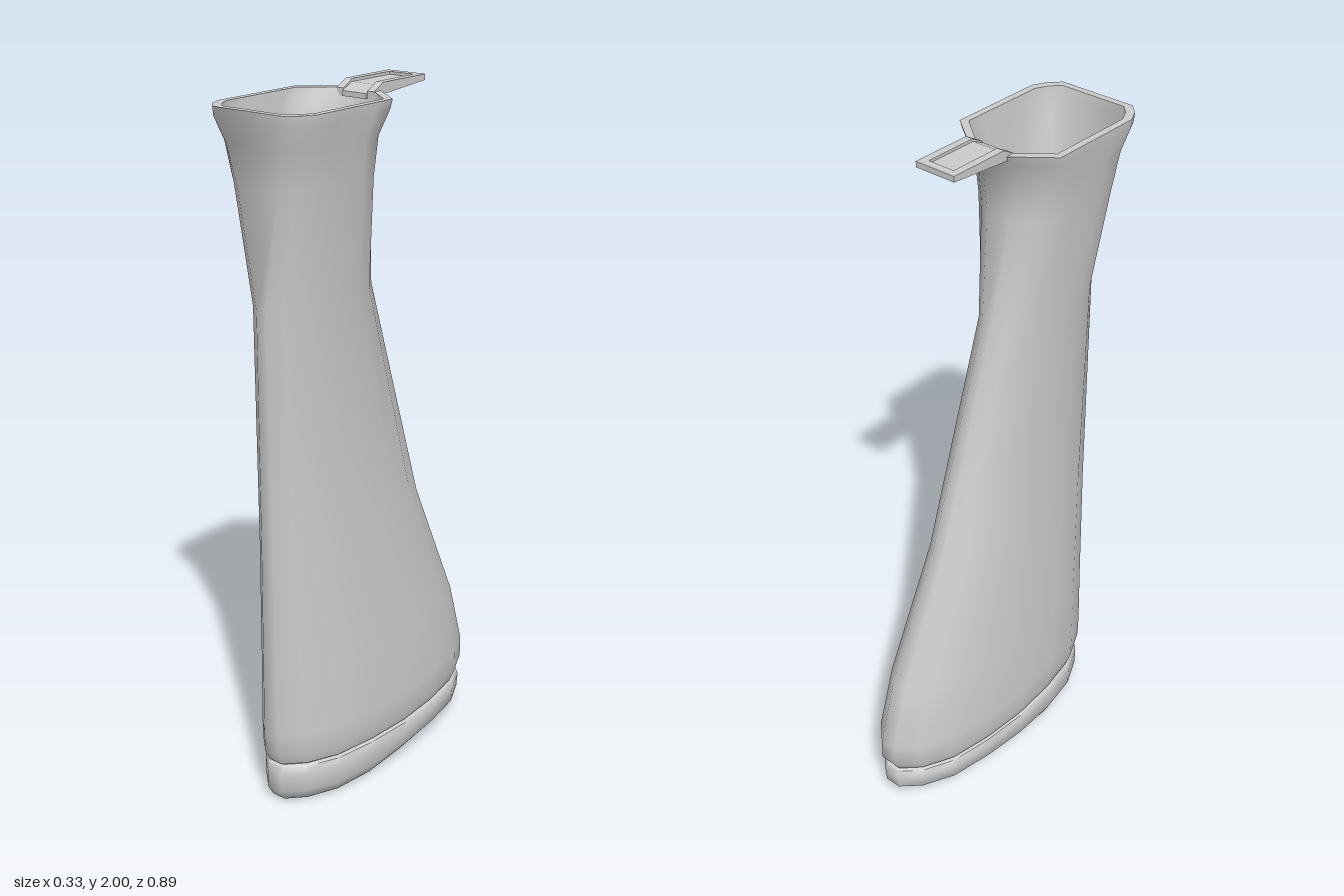
import * as THREE from 'three';
import { toCreasedNormals } from 'three/addons/utils/BufferGeometryUtils.js';

const material = new THREE.MeshStandardMaterial({ color: 0xcccccc });

// Half outlines from front to back, as fractions of half width and half length
const OVAL = [[.16, 1], [.5, .88], [.79, .66], [.94, .35], [1, 0], [.94, -.35], [.79, -.66], [.5, -.88], [.16, -1]];
const COLLAR = [[.7, 1], [.88, .865], [1, .685], [1, .35], [1, 0], [1, -.35], [1, -.62], [.68, -.81], [.36, -1]];

// One closed ring: blend 0 is the oval, 1 the chamfered collar; lift raises the rear
function ring([y, front, back, halfWidth, blend = 0, lift = 0]) {
  const mid = (front + back) / 2, half = (front - back) / 2;
  const side = OVAL.map((p, i) => {
    const u = THREE.MathUtils.lerp(p[0], COLLAR[i][0], blend);
    const v = THREE.MathUtils.lerp(p[1], COLLAR[i][1], blend);
    const z = mid + v * half;
    const rise = lift * (1 - THREE.MathUtils.smoothstep(z, -0.15, 0.2));
    return [u * halfWidth, y + rise, z];
  });
  return [...side, ...side.slice().reverse().map(([x, yy, z]) => [-x, yy, z])];
}

// Skin through the rings, optionally closing the first and last one
function loft(name, levels, capStart, capEnd) {
  const rings = levels.map(ring), n = rings[0].length, index = [];
  for (let i = 0; i < rings.length - 1; i++) {
    for (let j = 0; j < n; j++) {
      const a = i * n + j, b = i * n + (j + 1) % n;
      index.push(a, b, b + n, a, b + n, a + n);
    }
  }
  const cap = (base, flip) => {
    for (let j = 0; j < n / 2 - 1; j++) {
      const a = base + j, b = a + 1, c = base + n - 2 - j, d = c + 1;
      if (flip) index.push(a, c, b, a, d, c);
      else index.push(a, b, c, a, c, d);
    }
  };
  if (capStart) cap(0, true);
  if (capEnd) cap((rings.length - 1) * n, false);
  const geometry = new THREE.BufferGeometry();
  geometry.setAttribute('position', new THREE.Float32BufferAttribute(rings.flat(2), 3));
  geometry.setIndex(index);
  const mesh = new THREE.Mesh(toCreasedNormals(geometry, 0.95), material);
  mesh.name = name;
  return mesh;
}

// Side profile of [z, y] points, extruded from x0 to x1
function sideStrip(name, points, x0, x1) {
  const shape = new THREE.Shape(points.map(([z, y]) => new THREE.Vector2(-z, y)));
  const geometry = new THREE.ExtrudeGeometry(shape, { depth: x1 - x0, bevelEnabled: false });
  geometry.rotateY(Math.PI / 2);
  geometry.translate(x0, 0, 0);
  const mesh = new THREE.Mesh(geometry, material);
  mesh.name = name;
  return mesh;
}

const inset = ([y, front, back, w, blend], t) => [y, front - t, back + t, w - t, blend];

export function createModel() {
  const model = new THREE.Group();
  model.name = 'stock';

  // Hollow body: outside going up, then inside going down to the floor
  const outside = [
    [.133, .395, -.425, .147, 0],
    [.165, .41, -.445, .157, 0],
    [.23, .412, -.445, .157, 0],
    [.42, .411, -.39, .146, 0],
    [.8, .411, -.215, .12, 0],
    [1.47, .412, 0, .1, 0],
    [1.78, .415, .045, .138, .6],
    [1.89, .425, .043, .148, .85],
    [1.955, .443, .01, .163, 1],
    [1.98, .445, 0, .165, 1],
  ];
  const inside = outside.slice(2).reverse().map((level, i) => inset(level, i < 2 ? .02 : .01));
  const ledge = [
    [.23, .375, -.405, .125, 0],
    [.15, .37, -.4, .12, 0],
  ];
  model.add(loft('body', [...outside, ...inside, ...ledge], false, true));

  // Butt pad with a recessed sole, its rear underside arched upward
  model.add(loft('buttPad', [
    [.014, .345, -.36, .1, 0, .033],
    [.004, .35, -.365, .105, 0, .033],
    [0.002, .36, -.375, .112, 0, .033],
    [.012, .385, -.405, .135, 0, .03],
    [.045, .402, -.432, .153, 0, .015],
    [.1, .402, -.436, .155, 0, 0],
    [.122, .395, -.428, .149, 0, 0],
    [.126, .385, -.415, .138, 0, 0],
    [.146, .385, -.415, .138, 0, 0],
  ], true, true));

  // Tang: floor plate, raised side rails and end rail
  const tang = new THREE.Group();
  tang.name = 'tang';
  tang.add(sideStrip('tangFloor',
    [[-.19, 1.984], [-.19, 1.992], [-.005, 1.992], [.035, 1.974], [.035, 1.96], [.005, 1.968]], -.04, .04));
  const rail = [[-.19, 1.984], [-.19, 2], [-.008, 2], [.03, 1.98], [.03, 1.96], [.005, 1.968]];
  tang.add(sideStrip('rightRail', rail, -.062, -.04));
  tang.add(sideStrip('leftRail', rail, .04, .062));
  tang.add(sideStrip('endRail', [[-.19, 1.984], [-.19, 2], [-.167, 2], [-.167, 1.984]], -.04, .04));

  // Screw boss under the tang
  const bossProfile = [[.018, 1.985], [.018, 1.972], [.036, 1.972], [.042, 1.985]]
    .map(([r, y]) => new THREE.Vector2(r, y));
  const boss = new THREE.Mesh(
    toCreasedNormals(new THREE.LatheGeometry(bossProfile.slice(), 16), 0.6),
    new THREE.MeshStandardMaterial({ color: 0xcccccc, side: THREE.DoubleSide }));
  boss.name = 'screwBoss';
  boss.position.z = -.09;
  tang.add(boss);
  model.add(tang);

  return model;
}
